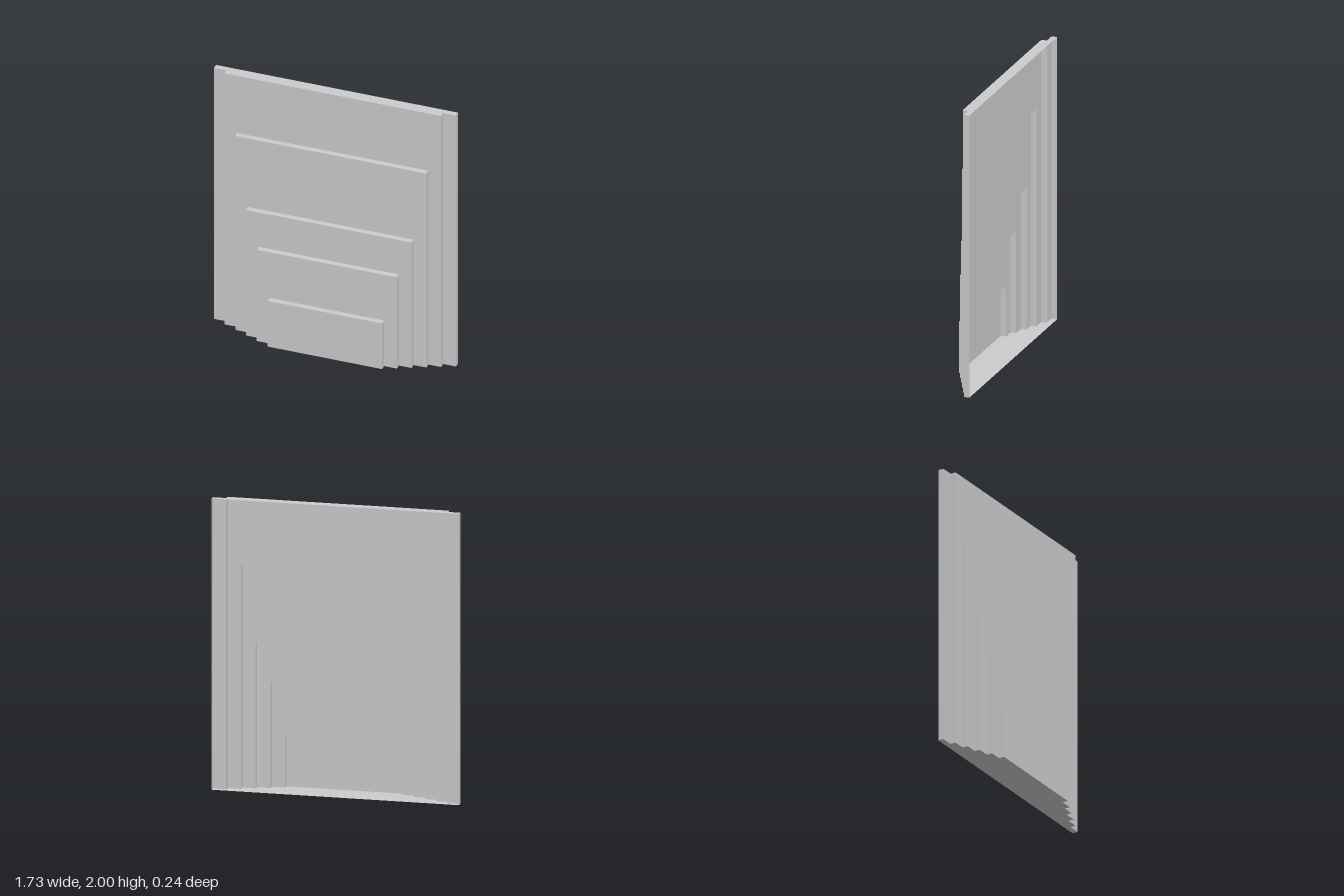
import * as THREE from 'three';

const UNIT = 1 / 11;
const DEPTH = 0.04;
const HEIGHTS = [22, 22, 17, 11, 8, 4];

export function createModel() {
  const model = new THREE.Group();
  const material = new THREE.MeshStandardMaterial({ color: 0xcccccc, side: THREE.DoubleSide });

  // One thin flat sheet, placed by its centre
  function sheet(parent, name, w, h, [x, y, z], rx = 0, ry = 0) {
    const mesh = new THREE.Mesh(new THREE.PlaneGeometry(w, h), material);
    mesh.name = name;
    mesh.position.set(x, y, z);
    mesh.rotation.set(rx, ry, 0);
    parent.add(mesh);
  }

  // Nested steps from the widest at the back to the smallest at the front
  const steps = HEIGHTS.map((h, i) => ({ half: (9.5 - i) * UNIT, height: h * UNIT }));
  steps.forEach(({ half, height }, i) => {
    const step = new THREE.Group();
    step.name = `step${i + 1}`;
    model.add(step);
    const front = (i + 1 - HEIGHTS.length / 2) * DEPTH;
    const mid = front - DEPTH / 2;

    // Walls around the step; the back stays open
    sheet(step, 'top', half * 2, DEPTH, [0, height, mid], -Math.PI / 2);
    sheet(step, 'floor', half * 2, DEPTH, [0, 0, mid], Math.PI / 2);
    for (const s of [-1, 1]) {
      sheet(step, s > 0 ? 'leftWall' : 'rightWall', DEPTH, height, [s * half, height / 2, mid], 0, s * Math.PI / 2);
    }

    // Front face, cut away where the next step opens
    const next = steps[i + 1];
    if (!next) {
      sheet(step, 'frontPanel', half * 2, height, [0, height / 2, front]);
      return;
    }
    for (const s of [-1, 1]) {
      sheet(step, s > 0 ? 'frontLeftStrip' : 'frontRightStrip', half - next.half, height,
        [s * (half + next.half) / 2, height / 2, front]);
    }
    if (height > next.height) {
      sheet(step, 'frontUpperPanel', next.half * 2, height - next.height,
        [0, (height + next.height) / 2, front]);
    }
  });
  return model;
}
